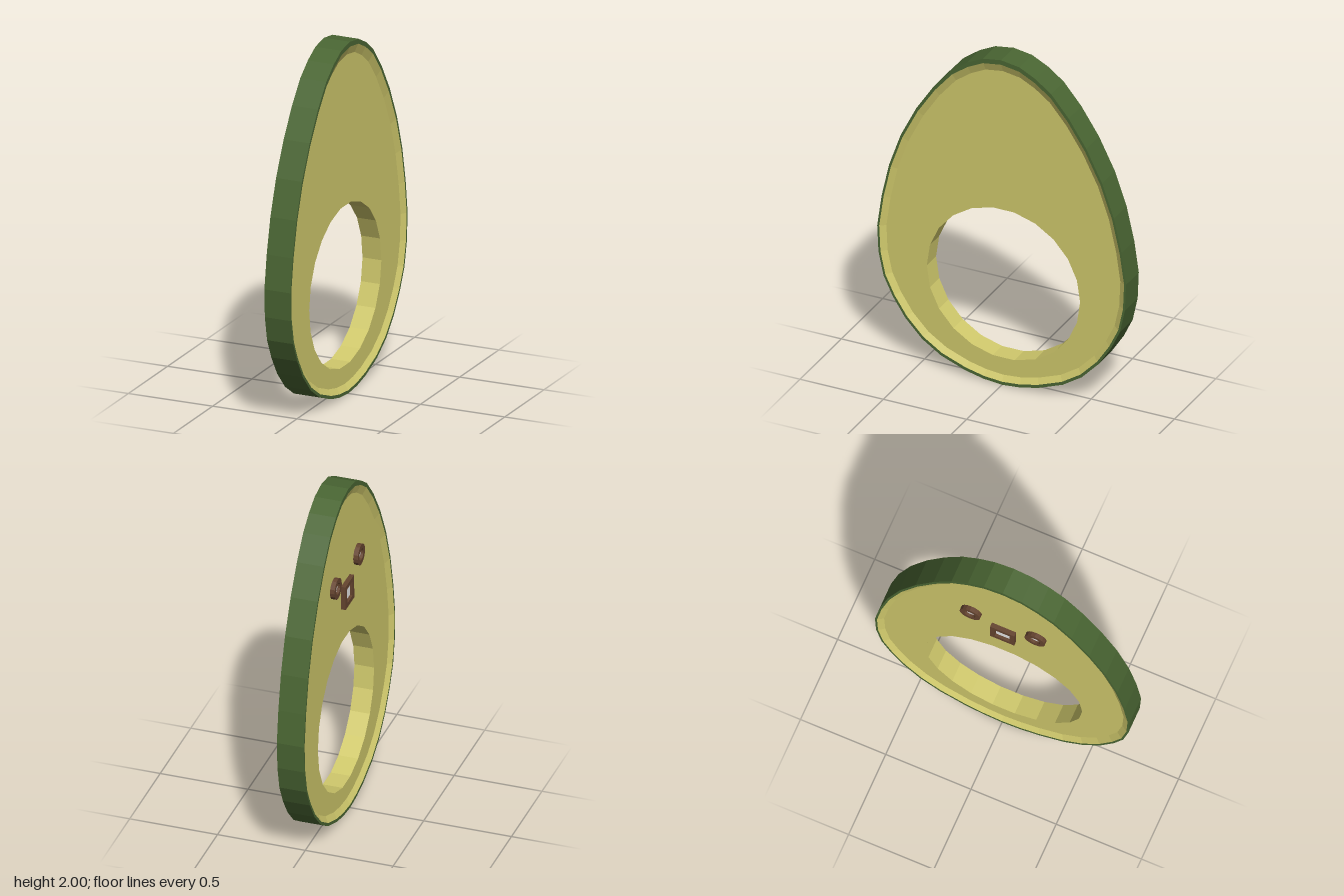
import * as THREE from 'three';

const mat = (name, color) => {
  const m = new THREE.MeshStandardMaterial({ color });
  m.name = name;
  return m;
};

// Right half of the egg outline, bottom to top
const HALF = [[0, 0], [0.11, 0.01], [0.22, 0.035], [0.365, 0.09], [0.48, 0.165], [0.58, 0.27],
  [0.655, 0.385], [0.71, 0.5], [0.74, 0.64], [0.747, 0.8], [0.72, 0.99], [0.675, 1.19],
  [0.605, 1.39], [0.51, 1.58], [0.405, 1.74], [0.3, 1.865], [0.205, 1.935], [0.11, 1.983], [0, 2]];
const EGG = [...HALF, ...HALF.slice(1, -1).reverse().map(([x, y]) => [-x, y])];
const CY = 0.8;          // centre the outline is scaled about
const RIM = 0.077;       // half thickness of the skin
const CORE = 0.056;      // half thickness of the flesh

const egg = (sx, sy) => EGG.map(([x, y]) => new THREE.Vector2(x * sx, CY + (y - CY) * sy));
const ring = (pts, z) => pts.map(p => [p.x, p.y, z]);

// Flat-faced strips joining consecutive closed rings
function strips(rings) {
  const pos = [];
  for (let i = 0; i < rings.length - 1; i++) {
    const a = rings[i], b = rings[i + 1], n = a.length;
    for (let j = 0; j < n; j++) {
      const k = (j + 1) % n;
      pos.push(...a[j], ...b[j], ...a[k], ...a[k], ...b[j], ...b[k]);
    }
  }
  const g = new THREE.BufferGeometry();
  g.setAttribute('position', new THREE.Float32BufferAttribute(pos, 3));
  g.computeVertexNormals();
  return g;
}

// Regular polygon points
const polygon = (r, n, start = 0, cx = 0, cy = 0) => Array.from({ length: n }, (_, i) => {
  const t = start + (i / n) * Math.PI * 2;
  return new THREE.Vector2(cx + r * Math.cos(t), cy + r * Math.sin(t));
});

// Plate with a hole, from z0 to z1
function plate(outer, hole, z0, z1) {
  const shape = new THREE.Shape(outer);
  if (hole) shape.holes.push(new THREE.Path(hole));
  return new THREE.ExtrudeGeometry(shape, { depth: z1 - z0, bevelEnabled: false }).translate(0, 0, z0);
}

export function createModel() {
  const skin = mat('green skin', 0x4a6633);
  const flesh = mat('yellow flesh', 0xd0c96c);
  const brown = mat('brown frame', 0x664530);
  const white = mat('pale inset', 0xf2f2f2);

  const body = new THREE.Group();
  body.name = 'avocadoSlice';
  const add = (name, geometry, material) => {
    const m = new THREE.Mesh(geometry, material);
    m.name = name;
    body.add(m);
  };

  // Skin band with a narrow lip on both faces
  const outer = egg(1, 1), lip = egg(0.984, 0.977), inner = egg(0.94, 0.936);
  add('skin', strips([ring(lip, RIM), ring(outer, RIM), ring(outer, -RIM), ring(lip, -RIM)]), skin);

  // Sunken flesh with sloped borders and the stone hole
  add('flesh', plate(inner, polygon(0.46, 22, 0, 0, 0.612), -CORE, CORE), flesh);
  add('fleshSlopeLeft', strips([ring(inner, CORE), ring(lip, RIM)]), flesh);
  add('fleshSlopeRight', strips([ring(lip, -RIM), ring(inner, -CORE)]), flesh);

  // Framed eyes and square mouth on one face
  const framed = (name, x, y, n, start, r, rIn) => {
    add(name + 'Frame', plate(polygon(r, n, start, x, y), polygon(rIn, n, start, x, y), -0.082, -CORE + 0.005), brown);
    add(name + 'Inset', plate(polygon(rIn + 0.003, n, start, x, y), null, -0.066, -CORE - 0.001), white);
  };
  for (const s of [-1, 1]) framed(s < 0 ? 'frontEye' : 'backEye', s * 0.19, 1.48, 16, 0, 0.06, 0.033);
  framed('mouth', 0, 1.35, 4, Math.PI / 4, 0.1, 0.062);

  // Stand the slice edge-on, with a very slight lean
  body.rotation.y = Math.PI / 2;
  body.position.y = -1;
  const lean = new THREE.Group();
  lean.name = 'lean';
  lean.add(body);
  lean.rotation.z = -0.005;
  lean.position.y = 1;
  const model = new THREE.Group();
  model.name = 'model';
  model.add(lean);
  return model;
}
